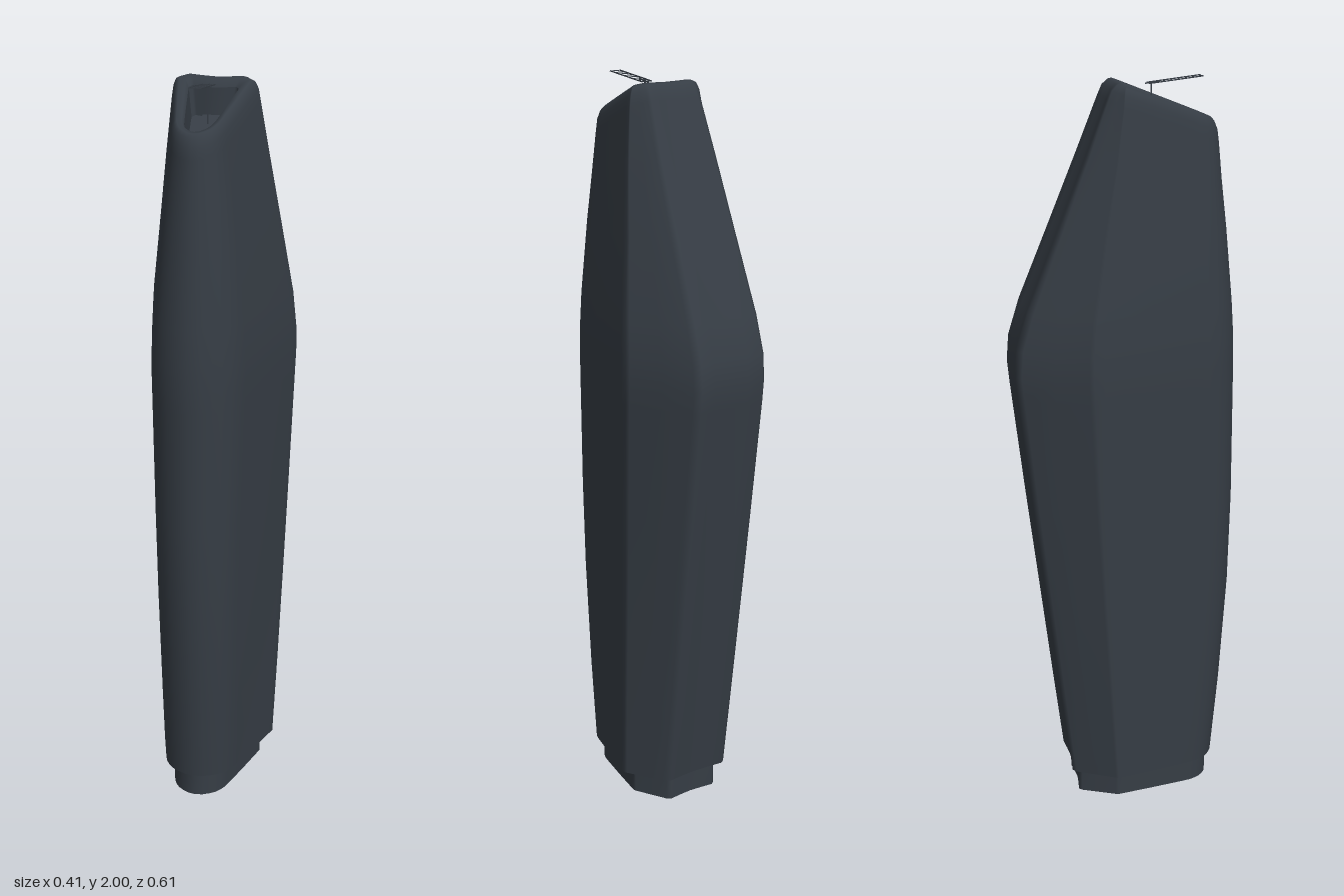
import * as THREE from 'three';

const slate = new THREE.MeshStandardMaterial({ color: 0x363d45 });
slate.name = 'dark slate';
slate.side = THREE.DoubleSide;

// Closed cross-section: rounded nose, widest point at zw, then a narrower flat back.
// The section lies on a plane tilted by slope s.
function section({ y, s = 0, w, b, zf, zw, zb }) {
  const front = [[0, 1], [0.16, 0.987], [0.3, 0.95], [0.41, 0.91], [0.5, 0.855], [0.57, 0.79],
    [0.62, 0.71], [0.8, 0.38], [0.96, 0.07], [0.995, 0]];
  const half = front.map(([x, t]) => [x * w, zw + (zf - zw) * t]);
  for (const t of [0.06, 0.5, 0.92]) half.push([w + (b - w) * t, zw + (zb - zw) * t]);
  half.push([b - 0.08 * b, zb], [b * 0.5, zb + 0.004], [0, zb + 0.007]);
  const mirrored = half.slice(1, -1).reverse().map(([x, z]) => [-x, z]);
  return [...half, ...mirrored].map(([x, z]) => [x, y - s * z, z]);
}

// Skin through consecutive sections, optionally closing the last one.
function loft(name, rows, cap = false) {
  const rings = rows.map(section);
  const n = rings[0].length;
  const index = [];
  for (let j = 0; j < rings.length - 1; j++) {
    for (let i = 0; i < n; i++) {
      const a = j * n + i, b = j * n + (i + 1) % n;
      index.push(a, b, b + n, a, b + n, a + n);
    }
  }
  const points = rings.flat();
  if (cap) {
    const r = rows[rows.length - 1];
    const zc = (r.zf + r.zb) / 2;
    const base = points.length;
    // separate vertices keep the cap edge sharp
    points.push(...rings[rings.length - 1], [0, r.y - (r.s || 0) * zc, zc]);
    for (let i = 0; i < n; i++) index.push(base + i, base + (i + 1) % n, base + n);
  }
  const geometry = new THREE.BufferGeometry();
  geometry.setAttribute('position', new THREE.Float32BufferAttribute(points.flat(), 3));
  geometry.setIndex(index);
  geometry.computeVertexNormals();
  const mesh = new THREE.Mesh(geometry, slate);
  mesh.name = name;
  return mesh;
}

function box(name, w, h, d, x, y, z) {
  const mesh = new THREE.Mesh(new THREE.BoxGeometry(w, h, d), slate);
  mesh.name = name;
  mesh.position.set(x, y, z);
  return mesh;
}

export function createModel() {
  const model = new THREE.Group();
  model.name = 'handle';
  const S = 0.385;

  // Outer shell, rolling over the slanted rim at the top
  model.add(loft('shell', [
    { y: 0.07, w: 0.165, b: 0.1, zf: 0.255, zw: -0.04, zb: -0.16 },
    { y: 0.3, w: 0.174, b: 0.102, zf: 0.277, zw: -0.055, zb: -0.19 },
    { y: 0.6, w: 0.184, b: 0.105, zf: 0.298, zw: -0.075, zb: -0.228 },
    { y: 0.85, w: 0.192, b: 0.107, zf: 0.305, zw: -0.09, zb: -0.26 },
    { y: 1.17, w: 0.202, b: 0.11, zf: 0.305, zw: -0.107, zb: -0.299 },
    { y: 1.23, w: 0.204, b: 0.11, zf: 0.305, zw: -0.11, zb: -0.305 },
    { y: 1.3, w: 0.203, b: 0.11, zf: 0.304, zw: -0.11, zb: -0.3 },
    { y: 1.4, w: 0.195, b: 0.108, zf: 0.298, zw: -0.1, zb: -0.27 },
    { y: 1.6, w: 0.166, b: 0.1, zf: 0.28, zw: -0.068, zb: -0.19 },
    { y: 1.78, s: 0.2, w: 0.139, b: 0.092, zf: 0.266, zw: -0.035, zb: -0.11 },
    { y: 1.925, s: S, w: 0.118, b: 0.082, zf: 0.257, zw: -0.015, zb: -0.055 },
    { y: 1.955, s: S, w: 0.113, b: 0.08, zf: 0.253, zw: -0.013, zb: -0.044 },
    { y: 1.974, s: S, w: 0.105, b: 0.077, zf: 0.244, zw: -0.01, zb: -0.03 },
    { y: 1.981, s: S, w: 0.095, b: 0.073, zf: 0.235, zw: -0.006, zb: -0.02 },
    { y: 1.978, s: S, w: 0.075, b: 0.064, zf: 0.222, zw: 0.006, zb: -0.006 },
    { y: 1.965, s: S, w: 0.066, b: 0.058, zf: 0.214, zw: 0.012, zb: 0.002 },
  ]));

  // Recess in the top
  model.add(loft('topRecess', [
    { y: 1.965, s: S, w: 0.066, b: 0.058, zf: 0.214, zw: 0.012, zb: 0.002 },
    { y: 1.89, s: S, w: 0.058, b: 0.05, zf: 0.208, zw: 0.016, zb: 0.006 },
  ], true));

  // Underside and the inset collar below it
  const outer = { w: 0.128, b: 0.08, zf: 0.24, zw: -0.035, zb: -0.14 };
  const inner = { w: 0.112, b: 0.07, zf: 0.224, zw: -0.03, zb: -0.125 };
  model.add(loft('underside', [
    { y: 0.0701, w: 0.165, b: 0.1, zf: 0.255, zw: -0.04, zb: -0.16 },
    { y: 0.0701, ...outer },
  ].reverse(), true));
  model.add(loft('collarInside', [{ y: 0.07, ...inner }, { y: 0, ...inner }]));
  model.add(loft('collarEdge', [{ y: 0, ...inner }, { y: 0, ...outer }]));
  model.add(loft('collar', [{ y: 0, ...outer }, { y: 0.07, ...outer }]));

  // Panel on the recess floor
  const panel = box('recessPanel', 0.056, 0.008, 0.16, 0, 1.895 - S * 0.09, 0.09);
  panel.rotation.x = Math.atan(S);
  model.add(panel);

  // Thin ladder-shaped clip above the recess
  const clip = new THREE.Group();
  clip.name = 'topClip';
  for (const x of [-0.016, 0.016]) clip.add(box('clipRail', 0.002, 0.003, 0.145, x, 0, 0));
  for (let i = 0; i < 8; i++) {
    clip.add(box('clipRung', 0.032, 0.002, 0.002, 0, 0, -0.07 + i * 0.02));
  }
  clip.add(box('clipSpine', 0.003, 0.003, 0.04, 0, 0, -0.06));
  clip.position.set(0, 1.989, 0.138);
  clip.rotation.x = -0.12;
  model.add(clip);
  const strut = box('clipStrut', 0.003, 0.1, 0.003, 0, 1.932, 0.075);
  model.add(strut);

  return model;
}
